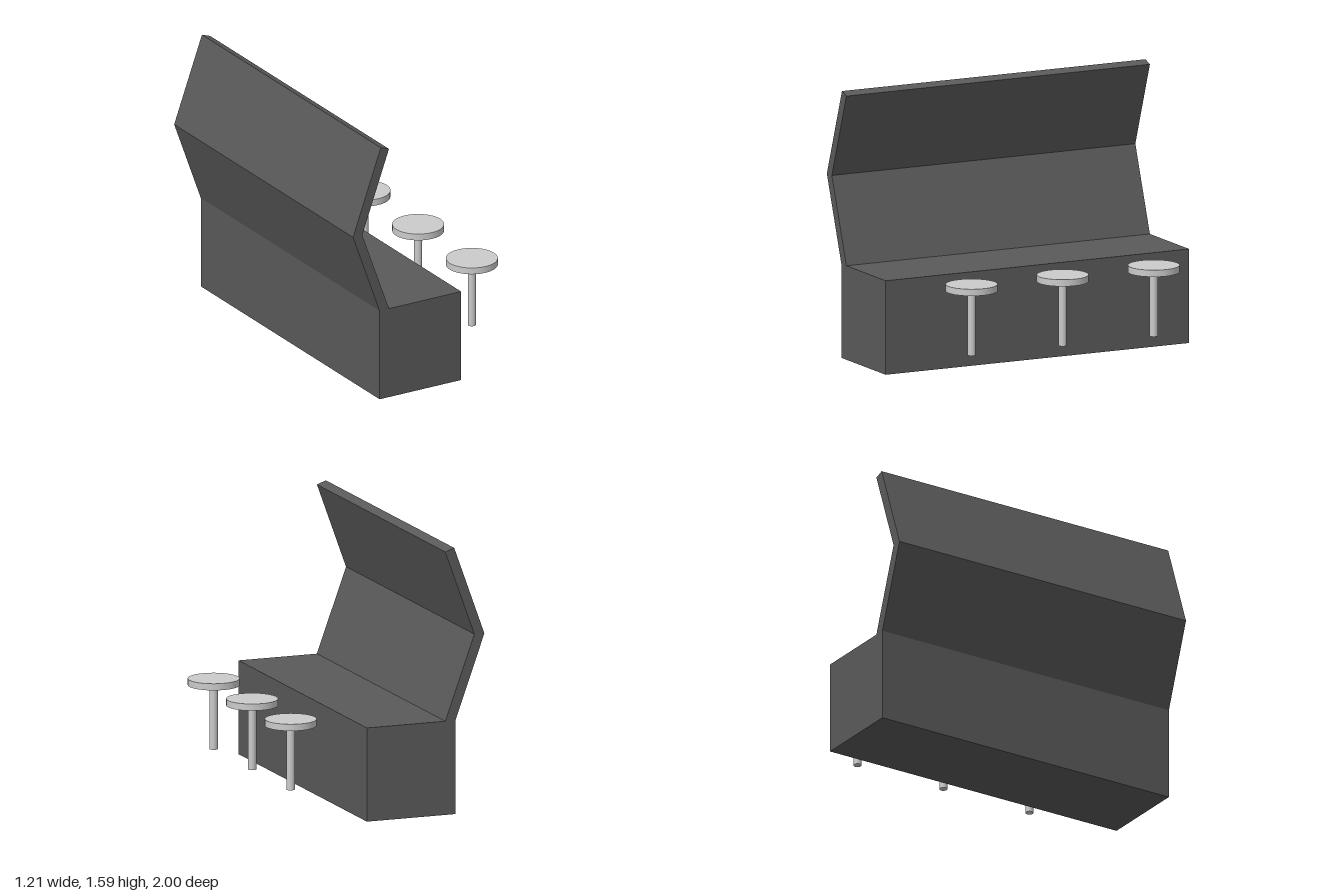
import * as THREE from 'three';

const dark = new THREE.MeshStandardMaterial({ color: 0x5a5a5a });
const grey = new THREE.MeshStandardMaterial({ color: 0xcccccc });

function addMesh(parent, name, geometry, material, x = 0, y = 0, z = 0) {
  const mesh = new THREE.Mesh(geometry, material);
  mesh.name = name;
  mesh.position.set(x, y, z);
  parent.add(mesh);
  return mesh;
}

export function createModel() {
  const group = new THREE.Group();
  group.name = 'counterWithStools';
  const length = 2;

  // Solid counter block
  addMesh(group, 'counterBase', new THREE.BoxGeometry(0.558, 0.56, length), dark, -0.145, 0.28, 0);

  // Bent panel rising from the back edge of the counter
  const profile = new THREE.Shape([
    [-0.424, 0.56], [-0.36, 0.56], [-0.543, 1.065],
    [-0.36, 1.571], [-0.416, 1.591], [-0.606, 1.065],
  ].map(([x, y]) => new THREE.Vector2(x, y)));
  const panel = new THREE.ExtrudeGeometry(profile, { depth: length, bevelEnabled: false });
  addMesh(group, 'backPanel', panel, dark, 0, 0, -length / 2);

  // Row of round stools along the counter
  const seat = new THREE.CylinderGeometry(0.152, 0.152, 0.04, 32);
  const post = new THREE.CylinderGeometry(0.024, 0.024, 0.385, 16);
  for (const z of [-0.6, 0, 0.6]) {
    const stool = new THREE.Group();
    stool.name = 'stool';
    stool.position.set(0.452, 0, z);
    addMesh(stool, 'seat', seat, grey, 0, 0.54, 0);
    addMesh(stool, 'post', post, grey, 0, 0.3295, 0);
    group.add(stool);
  }
  return group;
}
